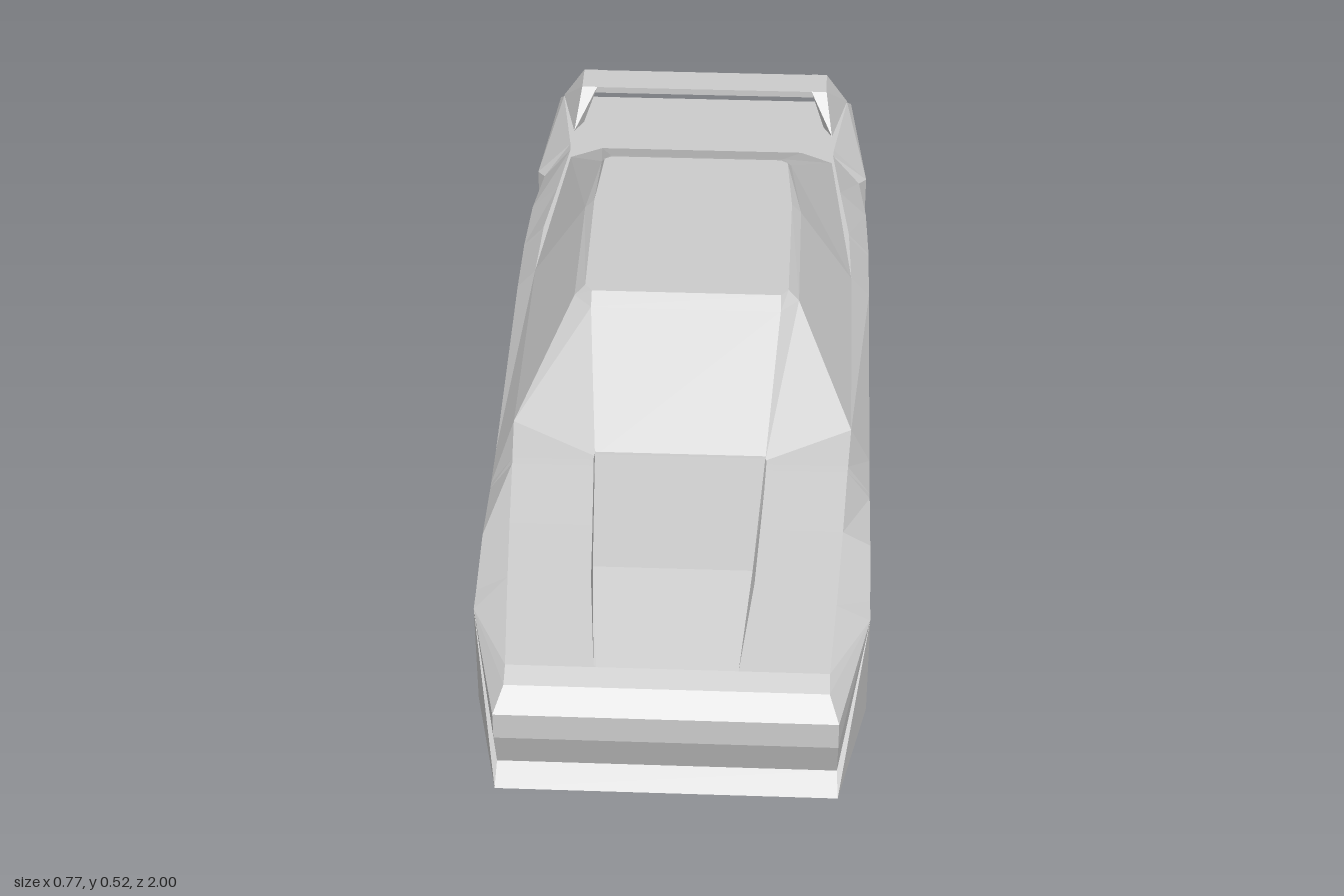
import * as THREE from 'three';
import { ConvexGeometry } from 'three/addons/geometries/ConvexGeometry.js';

const paint = new THREE.MeshStandardMaterial({ color: 0xcccccc, flatShading: true, side: THREE.DoubleSide });

const mirror = ([x, y, z]) => [-x, y, z];
const ringOf = (half) => [...half, ...half.map(mirror).reverse()];

// Flat-shaded mesh from a list of convex polygons
function faceted(name, polygons) {
  const pos = [];
  for (const p of polygons)
    for (let i = 1; i < p.length - 1; i++) pos.push(...p[0], ...p[i], ...p[i + 1]);
  const g = new THREE.BufferGeometry();
  g.setAttribute('position', new THREE.Float32BufferAttribute(pos, 3));
  g.computeVertexNormals();
  const mesh = new THREE.Mesh(g, paint);
  mesh.name = name;
  return mesh;
}

// Quads between successive closed rings
function loft(rings) {
  const faces = [];
  for (let r = 0; r < rings.length - 1; r++) {
    const a = rings[r], b = rings[r + 1];
    a.forEach((_, k) => {
      const n = (k + 1) % a.length;
      faces.push([a[k], a[n], b[n], b[k]]);
    });
  }
  return faces;
}

// Bumper skin: a profile swept across the car, its sides fanned back to the hull section
function bumper(name, [bottom, wide, shoulder], profile, front) {
  const q = [bottom, ...profile, shoulder];
  const faces = [];
  for (let j = 0; j < q.length - 1; j++) {
    const side = [wide, q[j + 1], q[j]];
    faces.push([mirror(q[j]), q[j], q[j + 1], mirror(q[j + 1])], side, side.map(mirror).reverse());
  }
  return faceted(name, front ? faces : faces.map((f) => f.reverse()));
}

function convex(name, points) {
  const mesh = new THREE.Mesh(new ConvexGeometry(points.map((p) => new THREE.Vector3(...p))), paint);
  mesh.name = name;
  return mesh;
}

export function createModel() {
  const car = new THREE.Group();
  car.name = 'car';

  // Hull sections, front to back: z, underside y, widest x and y, shoulder x and y
  const sections = [
    [0.75, 0, 0.385, 0.235, 0.319, 0.271],
    [0.70, 0.19, 0.385, 0.24, 0.322, 0.277],
    [0.56, 0.255, 0.385, 0.262, 0.33, 0.295],
    [0.40, 0.14, 0.385, 0.25, 0.338, 0.317],
    [0.385, 0.025, 0.385, 0.25, 0.339, 0.319],
    [0.28, 0.025, 0.385, 0.25, 0.345, 0.33],
    [-0.25, 0.025, 0.385, 0.285, 0.345, 0.33],
    [-0.405, 0.025, 0.385, 0.28, 0.34, 0.33],
    [-0.415, 0.14, 0.385, 0.28, 0.34, 0.33],
    [-0.58, 0.255, 0.38, 0.27, 0.32, 0.33],
    [-0.73, 0.20, 0.365, 0.255, 0.303, 0.33],
    [-0.755, 0.025, 0.382, 0.25, 0.305, 0.33],
  ].map(([z, yb, xw, yw, xs, ys]) => [[xw, yb, z], [xw, yw, z], [xs, ys, z]]);
  car.add(faceted('hull', loft(sections.map(ringOf).reverse())));

  // Front bumper with chin lip and recessed grille, and rear bumper with tail panel
  car.add(bumper('frontBumper', sections[0], [
    [0.33, 0, 1], [0.327, 0.04, 0.965], [0.327, 0.135, 1], [0.327, 0.195, 1],
    [0.308, 0.235, 0.96], [0.308, 0.25, 0.92],
  ], true));
  car.add(bumper('rearBumper', sections[sections.length - 1], [
    [0.345, 0.06, -0.98], [0.352, 0.1, -1], [0.352, 0.195, -1],
    [0.345, 0.2, -0.985], [0.345, 0.31, -0.985], [0.335, 0.33, -0.96],
  ], false));

  // Raised bonnet centre
  const bulge = [
    [0.92, 0.135, 0.25, 0.249], [0.70, 0.155, 0.31, 0.27], [0.38, 0.172, 0.33, 0.31], [0.3, 0.172, 0.33, 0.31],
  ].map(([z, x, top, base]) => ringOf([[x + 0.005, base, z], [x, top, z]]));
  car.add(faceted('bonnetBulge', loft(bulge.reverse())));

  // Cabin: belt line, window tops, roof edge
  const cabinRings = [
    [[0.172, 0.325, 0.38], [0.345, 0.33, 0.28], [0.345, 0.33, -0.25], [0.30, 0.33, -0.70], [0.23, 0.33, -0.74]],
    [[0.195, 0.5, 0.11], [0.232, 0.5, 0.07], [0.232, 0.5, -0.25], [0.208, 0.5, -0.43], [0.19, 0.5, -0.455]],
    [[0.195, 0.52, 0.08], [0.21, 0.52, 0.06], [0.212, 0.52, -0.25], [0.2, 0.52, -0.41], [0.185, 0.52, -0.42]],
  ].map(ringOf);
  car.add(faceted('cabin', [...loft(cabinRings), cabinRings[2]]));

  // Rear wing blade on two slanted posts
  const blade = new THREE.Mesh(new THREE.BoxGeometry(0.52, 0.015, 0.075), paint);
  blade.name = 'wingBlade';
  blade.position.set(0, 0.397, -0.922);
  car.add(blade);
  const post = [
    [0.30, 0.33, -0.81], [0.335, 0.33, -0.965], [0.27, 0.33, -0.965], [0.28, 0.33, -0.85],
    [0.25, 0.405, -0.885], [0.285, 0.405, -0.885], [0.285, 0.405, -0.96], [0.25, 0.405, -0.96],
  ];
  car.add(convex('leftWingPost', post), convex('rightWingPost', post.map(mirror)));

  // Pointed wheel stubs under each arch
  for (const [end, z] of [['front', 0.56], ['rear', -0.575]]) {
    const stub = [
      [0.36, 0.065, z + 0.11], [0.36, 0.065, z - 0.11],
      [0.38, 0.065, z], [0.27, 0.065, z], [0.36, 0.195, z],
    ];
    car.add(convex(end + 'LeftWheel', stub), convex(end + 'RightWheel', stub.map(mirror)));
  }
  return car;
}
